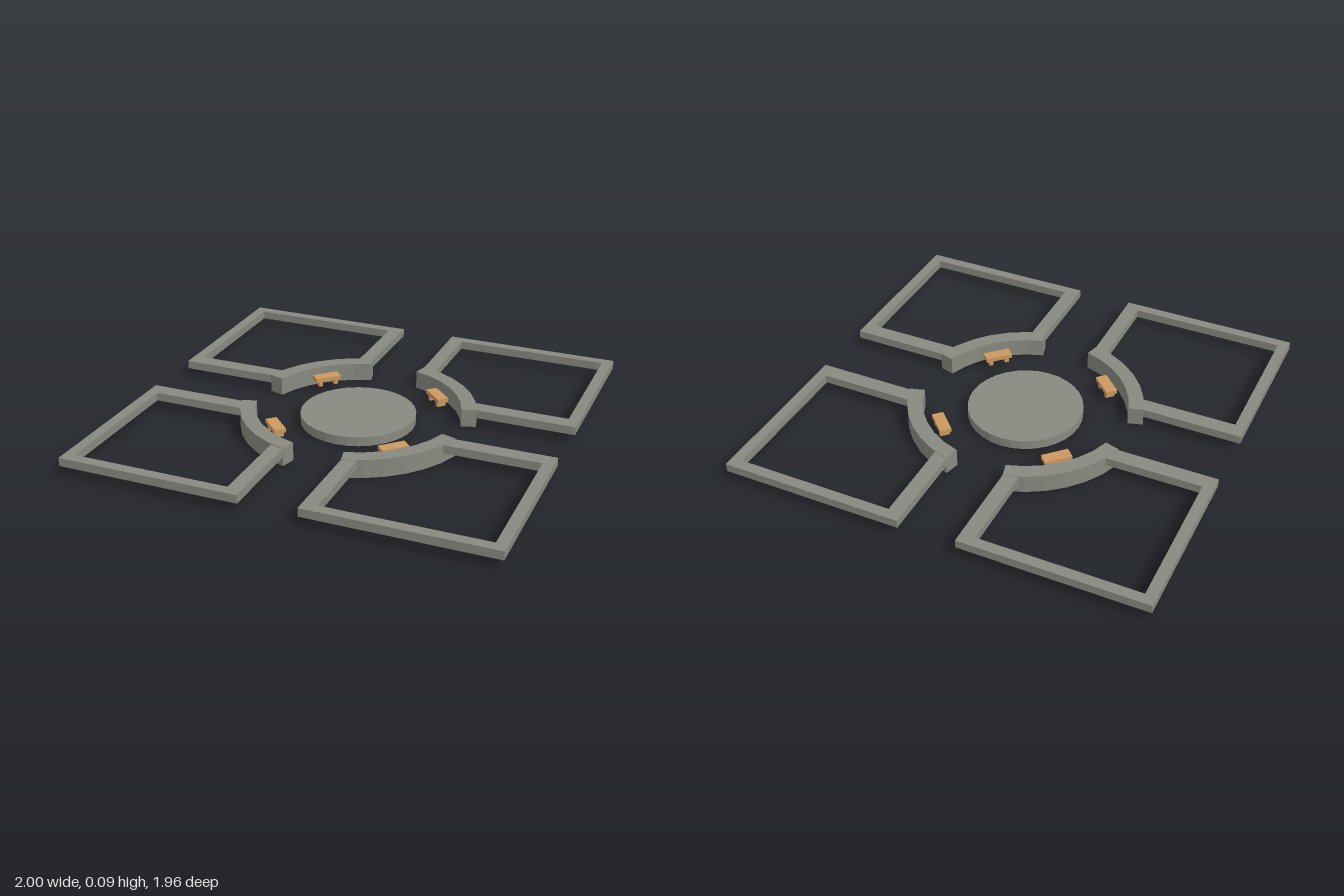
import * as THREE from 'three';

const stone = new THREE.MeshStandardMaterial({ color: 0x888a80, flatShading: true, side: THREE.DoubleSide });
const orange = new THREE.MeshStandardMaterial({ color: 0xcc9860, flatShading: true });

// Flat slab from a plan outline of [x, z] points
function slab(points, bottom, top) {
  const shape = new THREE.Shape(points.map(([x, z]) => new THREE.Vector2(x, z)));
  const geo = new THREE.ExtrudeGeometry(shape, { depth: top - bottom, bevelEnabled: false });
  return geo.rotateX(Math.PI / 2).translate(0, top, 0);
}

// Drops the downward faces, leaving a hollow underside
function openUnderside(geo) {
  const flat = geo.index ? geo.toNonIndexed() : geo;
  const p = flat.attributes.position, n = flat.attributes.normal;
  const kept = [];
  for (let i = 0; i < p.count; i += 3) {
    if (n.getY(i) < -0.9) continue;
    for (let k = i; k < i + 3; k++) kept.push(p.getX(k), p.getY(k), p.getZ(k));
  }
  const out = new THREE.BufferGeometry();
  out.setAttribute('position', new THREE.Float32BufferAttribute(kept, 3));
  out.computeVertexNormals();
  return out;
}

function add(parent, name, geo, material) {
  const mesh = new THREE.Mesh(geo, material);
  mesh.name = name;
  parent.add(mesh);
  return mesh;
}

// Points along a circle between two angles in degrees
function arc(radius, from, to, steps = 6) {
  return Array.from({ length: steps + 1 }, (_, i) => {
    const a = THREE.MathUtils.degToRad(from + (to - from) * i / steps);
    return [radius * Math.cos(a), radius * Math.sin(a)];
  });
}

export function createModel() {
  const model = new THREE.Group();
  model.name = 'courtyard';

  // Central round platform
  const disc = new THREE.CylinderGeometry(0.273, 0.273, 0.045, 32).translate(0, 0.0325, 0);
  add(model, 'centralPlatform', openUnderside(disc), stone);

  // Plan of one quarter: bed border and curved wall
  const border = [
    [0.137, 0.535], [0.137, 0.98], [1, 0.98], [1, 0.16], [0.53, 0.16],
    [0.5, 0.235], [0.95, 0.235], [0.95, 0.93], [0.205, 0.93], [0.205, 0.51],
  ];
  const wall = [...arc(0.483, 16.5, 75.5), ...arc(0.555, 75.5, 16.5)];

  for (const sx of [-1, 1]) for (const sz of [-1, 1]) {
    const quarter = new THREE.Group();
    quarter.name = (sz > 0 ? 'front' : 'back') + (sx > 0 ? 'Left' : 'Right') + 'Quarter';
    const mirror = (pts) => pts.map(([x, z]) => [x * sx, z * sz]);
    add(quarter, 'bedBorder', openUnderside(slab(mirror(border), 0.045, 0.085)), stone);
    add(quarter, 'curvedWall', slab(mirror(wall), 0, 0.088), stone);

    // Bench: plank on two feet, set tangent to the wall
    const bench = new THREE.Group();
    bench.name = 'bench';
    add(bench, 'plank', new THREE.BoxGeometry(0.13, 0.02, 0.055), orange);
    for (const side of [-1, 1]) {
      add(bench, 'foot', new THREE.BoxGeometry(0.02, 0.025, 0.045), orange)
        .position.set(side * 0.04, -0.0225, 0);
    }
    bench.position.set(0.29 * sx, 0.06, 0.295 * sz);
    bench.rotation.y = sx * sz * Math.PI / 4;
    quarter.add(bench);
    model.add(quarter);
  }
  return model;
}
